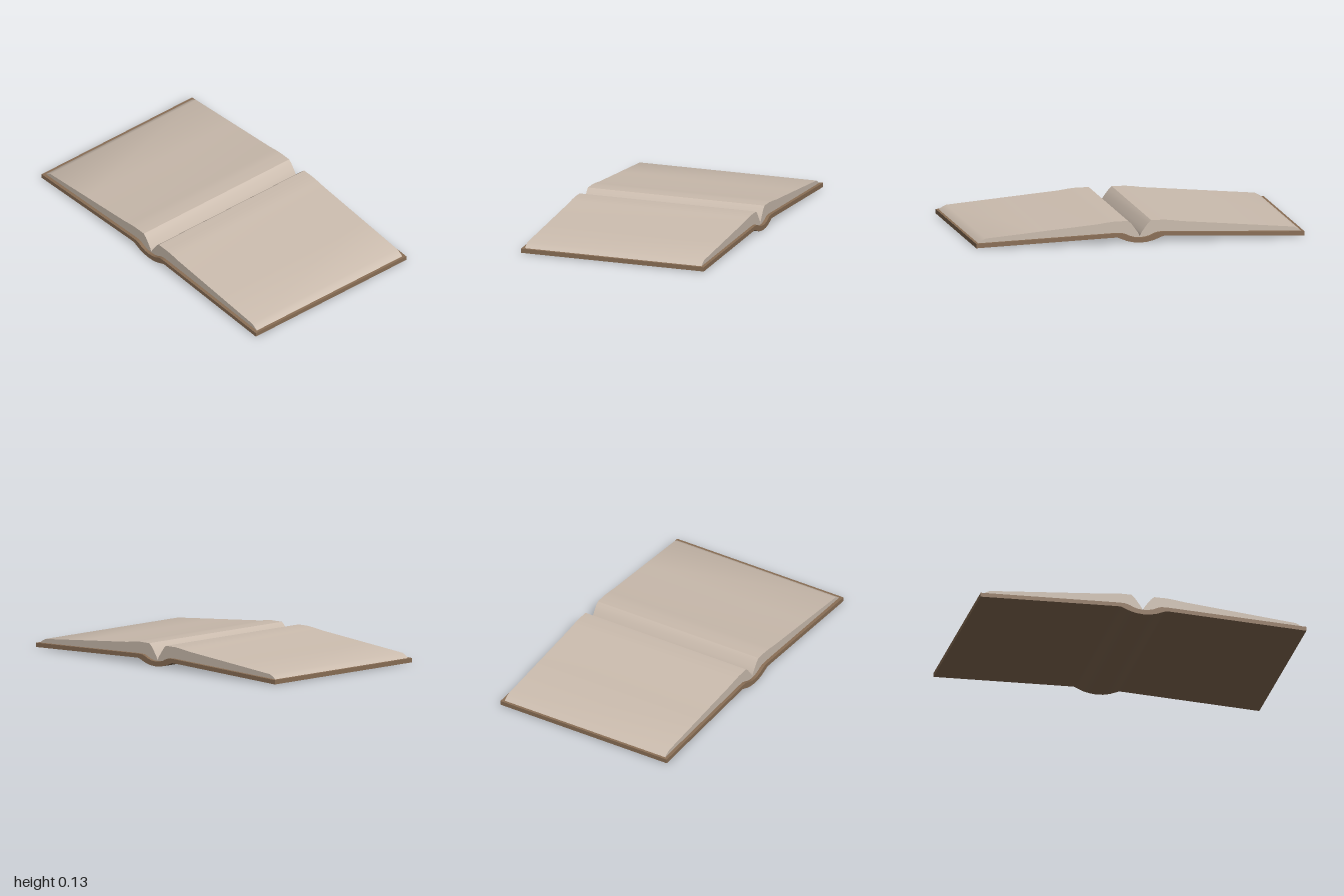
import * as THREE from 'three';
import { toCreasedNormals } from 'three/addons/utils/BufferGeometryUtils.js';

// Extrudes an x/y outline along z, centred on z = 0
function prism(name, points, depth, color) {
  const shape = new THREE.Shape(points.map(([x, y]) => new THREE.Vector2(x, y)));
  const raw = new THREE.ExtrudeGeometry(shape, { depth, bevelEnabled: false });
  raw.translate(0, 0, -depth / 2);
  const mesh = new THREE.Mesh(toCreasedNormals(raw, 0.5), new THREE.MeshStandardMaterial({ color }));
  mesh.name = name;
  return mesh;
}

// Adds the mirrored half of a line that runs from the middle to the right edge
const mirrored = (half) => [
  ...half.slice().reverse().map(([x, y]) => [-x, y]),
  ...half.filter(([x]) => x > 0),
];

export function createModel() {
  const book = new THREE.Group();
  book.name = 'openBook';

  // Cover: two sloping boards joined by a sagging spine
  const coverBottom = [[0, 0], [0.04, 0.003], [0.08, 0.012], [0.115, 0.026], [0.14, 0.036], [0.18, 0.035], [1, 0.004]];
  const coverTop = [[0, 0.03], [0.03, 0.032], [0.06, 0.04], [0.085, 0.052], [0.11, 0.06], [0.15, 0.061], [1, 0.03]];
  const outline = [...mirrored(coverBottom), ...mirrored(coverTop).reverse()];
  book.add(prism('cover', outline, 1.166, 0x8a6f56));

  // Page blocks: rounded at the gutter, slanted at the fore edge
  const pageTop = [
    [0.985, 0.03], [0.97, 0.042], [0.94, 0.057], [0.6, 0.087], [0.257, 0.117], [0.2, 0.125],
    [0.15, 0.13], [0.07, 0.13], [0.05, 0.112], [0.03, 0.085], [0.01, 0.057], [0, 0.035],
  ];
  const pages = [[0, 0.029], ...coverTop.slice(1, -1).map(([x, y]) => [x, y - 0.001]), ...pageTop];
  for (const [name, side] of [['leftPages', 1], ['rightPages', -1]]) {
    book.add(prism(name, pages.map(([x, y]) => [x * side, y]), 1.126, 0xcbbcae));
  }
  return book;
}
